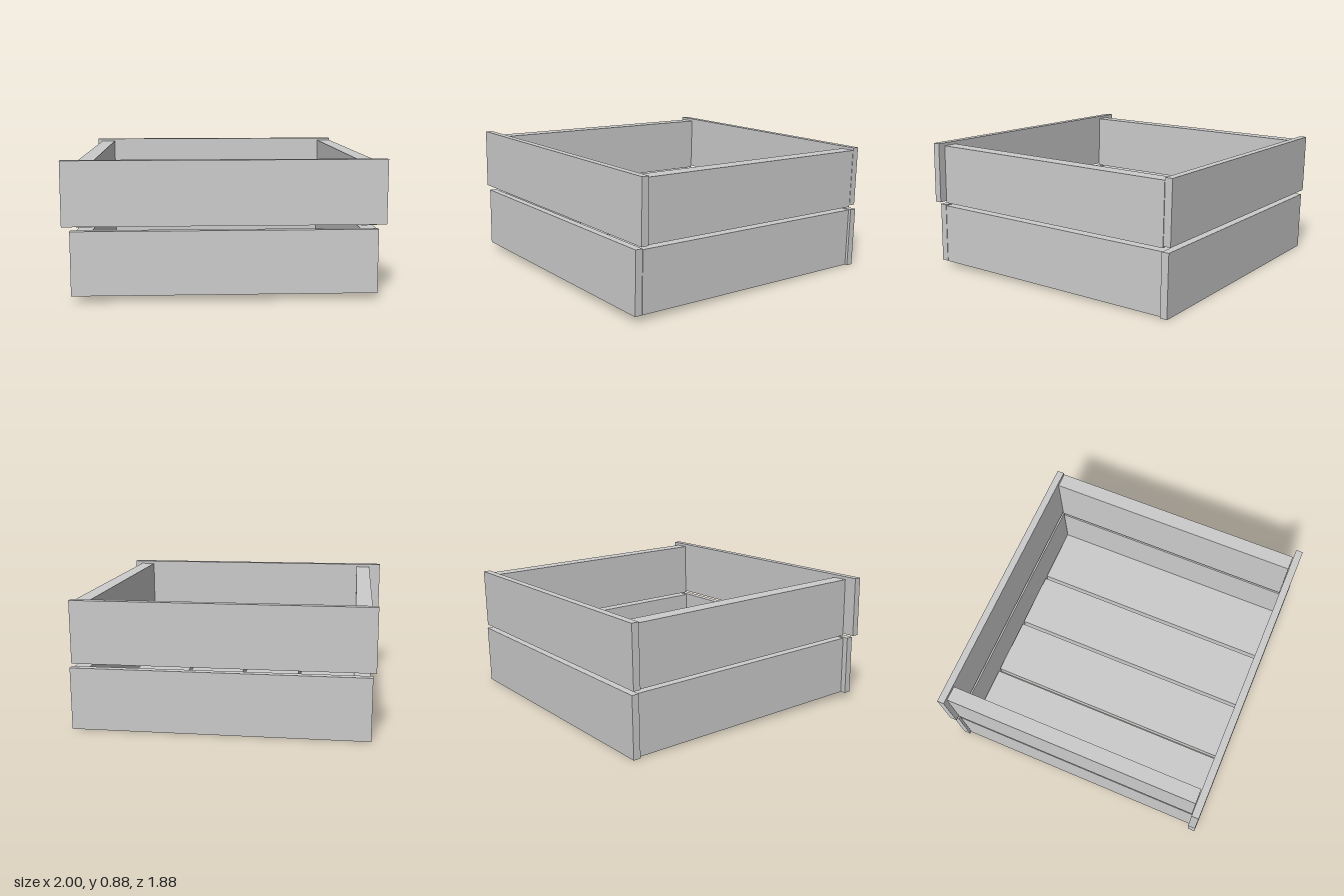
import * as THREE from 'three';

const TILT = -0.021; // the whole crate leans slightly back

export function createModel() {
  const crate = new THREE.Group();
  crate.name = 'crate';
  const material = new THREE.MeshStandardMaterial({ color: 0xcccccc, flatShading: true });

  // one plank spanning x0..x1, centred at (y, z)
  function plank(name, x0, x1, y, z, height, depth) {
    const mesh = new THREE.Mesh(new THREE.BoxGeometry(x1 - x0, height, depth), material);
    mesh.name = name;
    mesh.position.set((x0 + x1) / 2, y, z);
    mesh.rotation.x = TILT;
    crate.add(mesh);
  }

  // front and back planks
  plank('frontUpperPlank', -1, 1, 0.677, 0.9, 0.405, 0.048);
  plank('frontLowerPlank', -0.95, 0.95, 0.245, 0.913, 0.404, 0.048);
  plank('backUpperPlank', -0.95, 0.95, 0.637, -0.912, 0.404, 0.048);
  plank('backLowerPlank', -0.93, 0.964, 0.204, -0.901, 0.404, 0.048);

  // thick side planks, two rows
  for (const [row, y, z] of [['Lower', 0.223, 0.007], ['Upper', 0.642, -0.006]]) {
    plank('right' + row + 'Plank', -0.915, -0.815, y, z, 0.398, 1.758);
    plank('left' + row + 'Plank', 0.85, 0.95, y, z, 0.398, 1.758);
  }

  // floor boards with narrow gaps, set just above the bottom of the sides
  const floor = [[-0.815, -0.418], [-0.397, 0.004], [0.026, 0.426], [0.449, 0.85]];
  floor.forEach(([x0, x1], i) => plank('floorBoard' + (i + 1), x0, x1, 0.064, 0.01, 0.072, 1.758));

  return crate;
}
